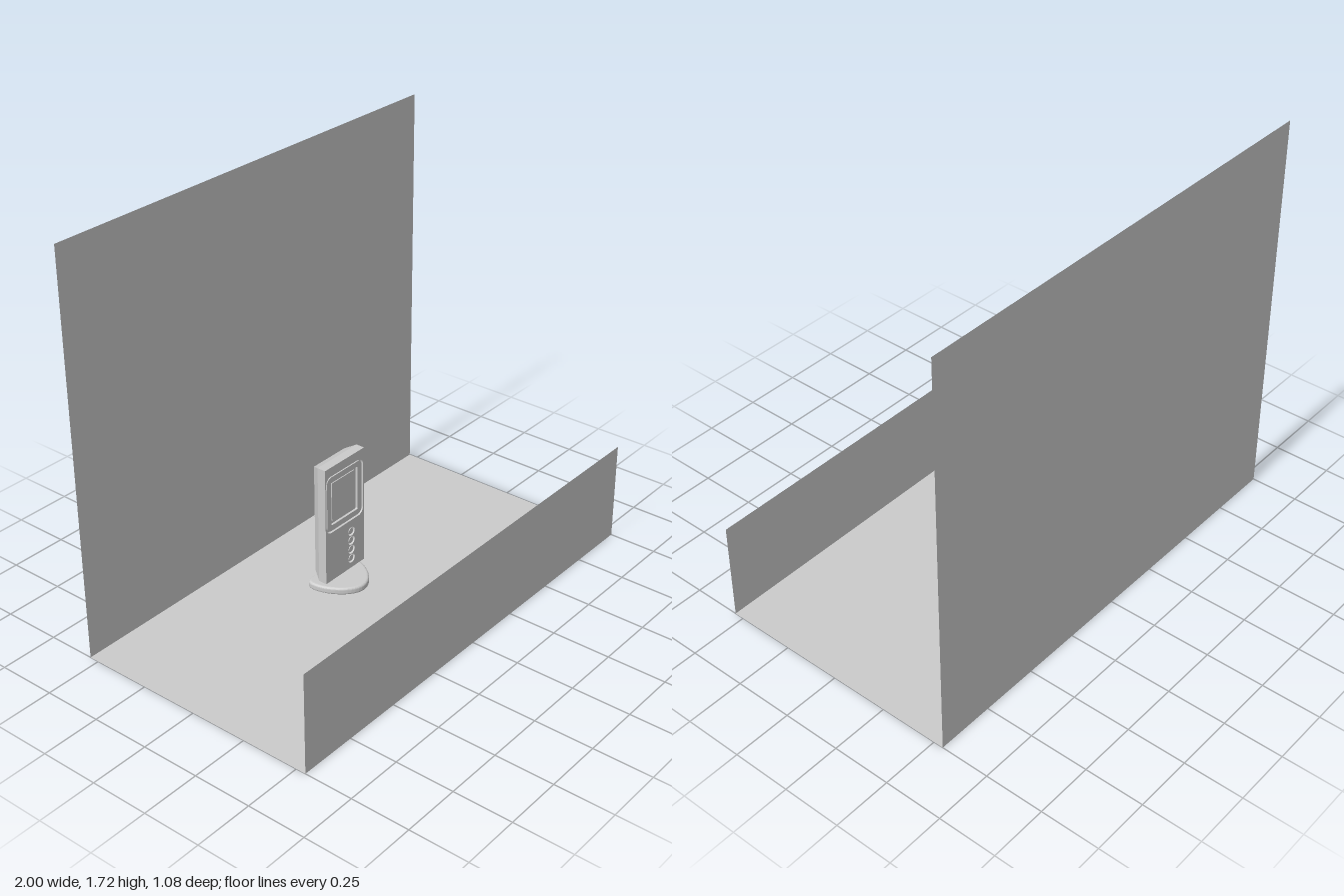
import * as THREE from 'three';

const smooth = new THREE.MeshStandardMaterial({ color: 0xcccccc });
const flat = new THREE.MeshStandardMaterial({ color: 0xcccccc, flatShading: true });
const sheet = new THREE.MeshStandardMaterial({ color: 0xcccccc, side: THREE.DoubleSide });

function add(parent, name, geometry, material) {
  const mesh = new THREE.Mesh(geometry, material);
  mesh.name = name;
  parent.add(mesh);
  return mesh;
}

// Rectangle between two corners with rounded corners
function roundedRect(x0, y0, x1, y1, r, Type = THREE.Shape) {
  const s = new Type();
  s.absarc(x1 - r, y0 + r, r, -Math.PI / 2, 0);
  s.absarc(x1 - r, y1 - r, r, 0, Math.PI / 2);
  s.absarc(x0 + r, y1 - r, r, Math.PI / 2, Math.PI);
  s.absarc(x0 + r, y0 + r, r, Math.PI, Math.PI * 1.5);
  s.closePath();
  return s;
}

function extrude(shape, depth, z) {
  return new THREE.ExtrudeGeometry(shape, { depth, bevelEnabled: false, curveSegments: 8 }).translate(0, 0, z);
}

export function createModel() {
  const model = new THREE.Group();
  model.name = 'phoneDisplay';

  // Floor with a tall back wall and a low front wall
  add(model, 'floor', new THREE.PlaneGeometry(2, 1.084).rotateX(-Math.PI / 2), sheet);
  add(model, 'backWall', new THREE.PlaneGeometry(2, 1.72).translate(0, 0.86, -0.542), sheet);
  add(model, 'frontWall', new THREE.PlaneGeometry(2, 0.43).translate(0, 0.215, 0.542), sheet);

  const phone = new THREE.Group();
  phone.name = 'phone';
  model.add(phone);

  // Stand foot: straight back, rounded nose at the front, soft rim
  const b = 0.01;
  const foot = new THREE.Shape();
  foot.moveTo(0, b);
  foot.bezierCurveTo(0.06, b, 0.12, 0.1, 0.12, 0.165);
  foot.bezierCurveTo(0.12, 0.187, 0.11, 0.193, 0.08, 0.193);
  foot.lineTo(-0.08, 0.193);
  foot.bezierCurveTo(-0.11, 0.193, -0.12, 0.187, -0.12, 0.165);
  foot.bezierCurveTo(-0.12, 0.1, -0.06, b, 0, b);
  const footGeometry = new THREE.ExtrudeGeometry(foot, {
    depth: 0.012, bevelThickness: b, bevelSize: b, bevelSegments: 4, curveSegments: 14,
  });
  add(phone, 'foot', footGeometry.rotateX(-Math.PI / 2).translate(0, 0.021, 0), smooth);

  // Short neck between the foot and the body
  add(phone, 'neck', new THREE.BoxGeometry(0.12, 0.05, 0.042).translate(0, 0.06, -0.154), smooth);

  // Body shell: box whose back face is drawn in to give sloping sides
  const shell = new THREE.BoxGeometry(0.24, 0.526, 0.068, 1, 1, 2);
  const p = shell.attributes.position;
  for (let i = 0; i < p.count; i++) {
    const z = p.getZ(i);
    if (z < -0.01) p.setXY(i, p.getX(i) * 0.77, p.getY(i) * 0.92);
    else if (z < 0.01) p.setZ(i, 0.008);
  }
  add(phone, 'bodyShell', shell.translate(0, 0.325, -0.146), flat);

  // Front plate with openings for the screen surround and the keys
  const keyX = 0.04, keyYs = [0.235, 0.192, 0.149, 0.106];
  const plate = new THREE.Shape([[-0.12, 0.062], [0.12, 0.062], [0.12, 0.588], [-0.12, 0.588]]
    .map(([x, y]) => new THREE.Vector2(x, y)));
  plate.holes.push(roundedRect(-0.114, 0.288, 0.114, 0.548, 0.03, THREE.Path));
  for (const y of keyYs) plate.holes.push(new THREE.Path().absarc(keyX, y, 0.021, 0, Math.PI * 2));
  add(phone, 'frontPlate', extrude(plate, 0.013, -0.113), smooth);

  // Screen surround, set off from the plate by a narrow groove
  const surround = roundedRect(-0.107, 0.295, 0.107, 0.541, 0.025);
  surround.holes.push(roundedRect(-0.082, 0.32, 0.082, 0.518, 0.006, THREE.Path));
  add(phone, 'screenSurround', extrude(surround, 0.011, -0.113), smooth);
  add(phone, 'screen', extrude(roundedRect(-0.07, 0.332, 0.07, 0.506, 0.004), 0.005, -0.113), smooth);

  // Round keys sitting in their openings
  for (const y of keyYs) {
    const key = new THREE.CylinderGeometry(0.013, 0.016, 0.011, 20).rotateX(Math.PI / 2);
    add(phone, 'key', key.translate(keyX, y, -0.1075), smooth);
  }
  return model;
}
